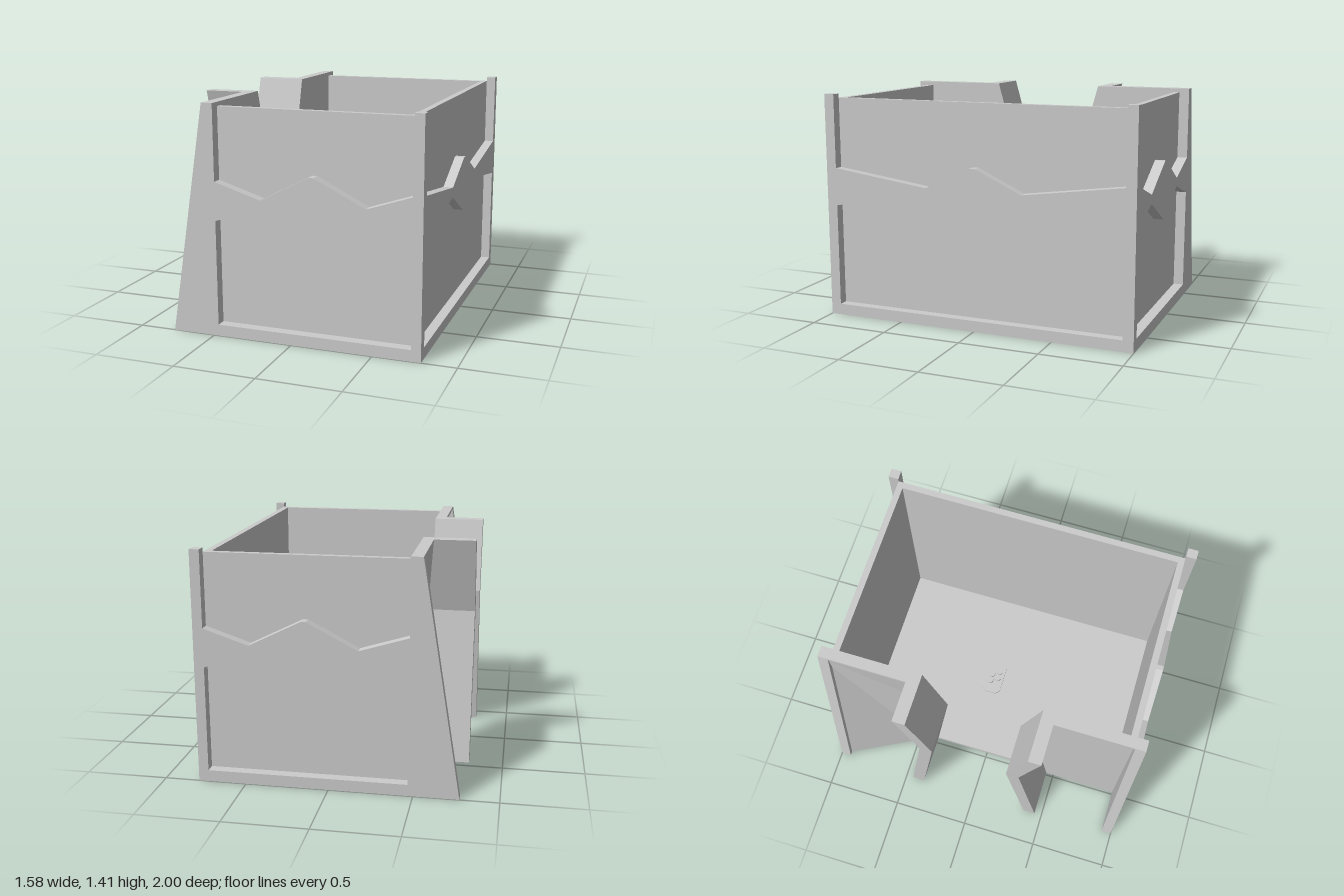
import * as THREE from 'three';

const material = new THREE.MeshStandardMaterial({ color: 0xcccccc, flatShading: true });

const outline = (points) => points.map(([a, b]) => new THREE.Vector2(a, b));

function extrude(points, depth, hole) {
  const shape = new THREE.Shape(outline(points));
  if (hole) shape.holes.push(new THREE.Path(outline(hole)));
  return new THREE.ExtrudeGeometry(shape, { depth, bevelEnabled: false });
}

// Profile in (z, y), extruded between two x positions
function extrudeX(points, x0, x1) {
  return extrude(points, x1 - x0).rotateY(-Math.PI / 2).translate(x1, 0, 0);
}

function box(x0, x1, y0, y1, z0, z1) {
  return new THREE.BoxGeometry(x1 - x0, y1 - y0, z1 - z0)
    .translate((x0 + x1) / 2, (y0 + y1) / 2, (z0 + z1) / 2);
}

export function createModel() {
  const model = new THREE.Group();
  const add = (name, geometry) => {
    const mesh = new THREE.Mesh(geometry, material);
    mesh.name = name;
    model.add(mesh);
  };

  // Zigzag edges of the raised band on the end walls, right to left
  const endTop = [[0.73, 0.95], [0.46, 0.86], [0.15, 1.015], [0.12, 1.015], [-0.18, 0.86], [-0.47, 0.95]];
  const endBottom = [[0.73, 0.715], [0.46, 0.805], [0.15, 0.65], [0.12, 0.65], [-0.18, 0.805], [-0.47, 0.715]];

  // Front and back walls: outer frame with slanted fin, recessed panel behind
  const frame = [[-0.77, 0], [0.79, 0], [0.79, 1.41], [0.73, 1.41], ...endTop, [-0.47, 1.41], [-0.54, 1.41]];
  const window = [[-0.47, 0.07], [0.73, 0.07], ...endBottom];
  for (const [side, s] of [['front', 1], ['back', -1]]) {
    add(side + 'Frame', extrude(frame, 0.065, window).translate(0, 0, s > 0 ? 0.935 : -1));
    const z = s > 0 ? 0.895 : -0.935;
    add(side + 'Panel', box(-0.47, 0.73, 0, 1.385, z, z + 0.04));
  }

  // Closed long wall: panel, sill and zigzag band
  add('sidePanel', box(0.69, 0.73, 0, 1.385, -0.935, 0.935));
  add('sideSill', box(0.73, 0.79, 0, 0.07, -0.935, 0.935));
  const sideTop = [[0.935, 0.95], [0.31, 0.865], [0.02, 1.0], [-0.02, 1.0], [-0.31, 0.865], [-0.935, 0.95]];
  const sideBottom = [[-0.935, 0.715], [-0.31, 0.803], [-0.02, 0.657], [0.02, 0.657], [0.31, 0.803], [0.935, 0.715]];
  add('sideBand', extrudeX([...sideTop, ...sideBottom], 0.73, 0.79));

  // Open long side: two wall halves and bent wings around the doorway
  for (const [side, s] of [['front', 1], ['back', -1]]) {
    const profile = (points) => points.map(([z, y]) => [z * s, y]);
    add(side + 'DoorWall', extrudeX(
      profile([[0.37, 0], [0.24, 0.95], [0.37, 1.41], [0.935, 1.41], [0.935, 0]]), -0.485, -0.47));
    const [z0, z1] = s > 0 ? [0.43, 0.935] : [-0.935, -0.43];
    add(side + 'DoorWallCap', box(-0.54, -0.47, 1.39, 1.41, z0, z1));
    add(side + 'DoorWing', extrudeX(
      profile([[0.37, 0], [0.24, 0.95], [0.37, 1.41], [0.45, 1.41], [0.32, 0.95], [0.45, 0]]), -0.79, -0.47));
  }

  // Sloping skin joining the back fin to its wing
  const skin = new THREE.BufferGeometry();
  skin.setAttribute('position', new THREE.Float32BufferAttribute([
    -0.54, 1.41, -0.99, -0.77, 0, -0.99, -0.49, 0, -0.45,
    -0.54, 1.41, -0.99, -0.49, 0, -0.45, -0.5, 0.95, -0.32,
    -0.54, 1.41, -0.99, -0.5, 0.95, -0.32, -0.54, 1.41, -0.45], 3));
  skin.computeVertexNormals();
  add('backFinSkin', skin);

  // Floor with a small studded fixture
  add('floor', box(-0.47, 0.7, 0.015, 0.045, -0.9, 0.9));
  const plate = new THREE.Shape();
  plate.absarc(0.17, 0.08, 0.03, 0, Math.PI / 2);
  plate.absarc(-0.005, 0.08, 0.03, Math.PI / 2, Math.PI);
  plate.absarc(-0.005, 0.145, 0.03, Math.PI, Math.PI * 1.5, true);
  plate.curves.length = 0;
  const corners = [[0.2, 0.06], [0.2, 0.16], [0.18, 0.18], [-0.01, 0.18], [-0.035, 0.15], [-0.035, 0.07], [-0.01, 0.045], [0.18, 0.045]];
  add('floorFixture', extrude(corners, 0.012).rotateX(-Math.PI / 2).translate(0, 0.045, 0));
  for (const [x, z] of [[0.05, -0.135], [0.1, -0.135], [0.08, -0.087], [0.13, -0.087]])
    add('fixtureStud', new THREE.CylinderGeometry(0.022, 0.022, 0.015, 16).translate(x, 0.064, z));

  return model;
}
